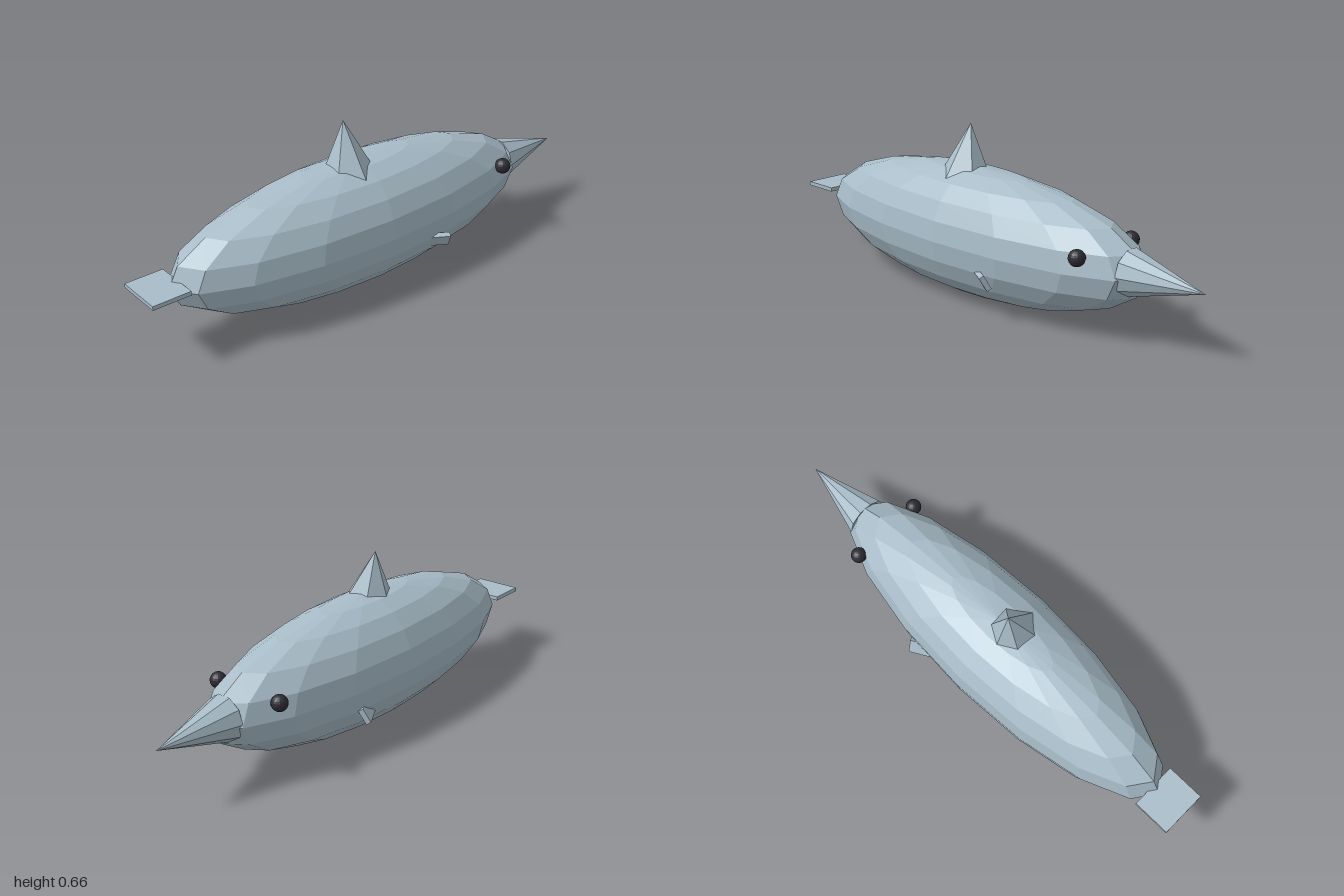
import * as THREE from 'three';

const skin = new THREE.MeshStandardMaterial({ color: 0xa8bcc8, flatShading: true });
const dark = new THREE.MeshStandardMaterial({ color: 0x2b2b33, flatShading: true });

export function createModel() {
  const model = new THREE.Group();
  model.name = 'dolphin';
  const add = (name, geometry, material, x, y, z) => {
    const mesh = new THREE.Mesh(geometry, material);
    mesh.name = name;
    mesh.position.set(x, y, z);
    model.add(mesh);
    return mesh;
  };

  // Body: stretched low-poly sphere with its poles up and down
  const body = new THREE.SphereGeometry(1, 16, 10).scale(0.82, 0.251, 0.233);
  add('body', body, skin, -0.065, 0.254, 0);

  // Snout: ten-sided cone pointing along +x
  const snout = new THREE.ConeGeometry(0.087, 0.31, 10).rotateZ(-Math.PI / 2);
  add('snout', snout, skin, 0.842, 0.264, 0);

  // Dorsal fin: six-sided cone, tilted slightly, placed by its tip
  const dorsal = new THREE.ConeGeometry(0.119, 0.24, 6).translate(0, -0.12, 0);
  add('dorsalFin', dorsal, skin, -0.11, 0.66, -0.015).rotation.x = -0.14;

  // Tail fluke: thin flat plate
  add('tailFluke', new THREE.BoxGeometry(0.15, 0.016, 0.186), skin, -0.925, 0.273, 0);

  // Eyes and side flippers; the flippers share one roll and sweep outwards
  for (const side of [1, -1]) {
    const label = side > 0 ? 'front' : 'back';
    add(label + 'Eye', new THREE.SphereGeometry(0.031, 16, 12), dark, 0.57, 0.322, side * 0.147);
    const flipper = add(label + 'Flipper', new THREE.BoxGeometry(0.1, 0.06, 0.02), skin,
      0.168, 0.157, side * 0.202);
    flipper.rotation.set(Math.PI / 6, -side * Math.PI / 6, 0, 'YXZ');
  }
  return model;
}
